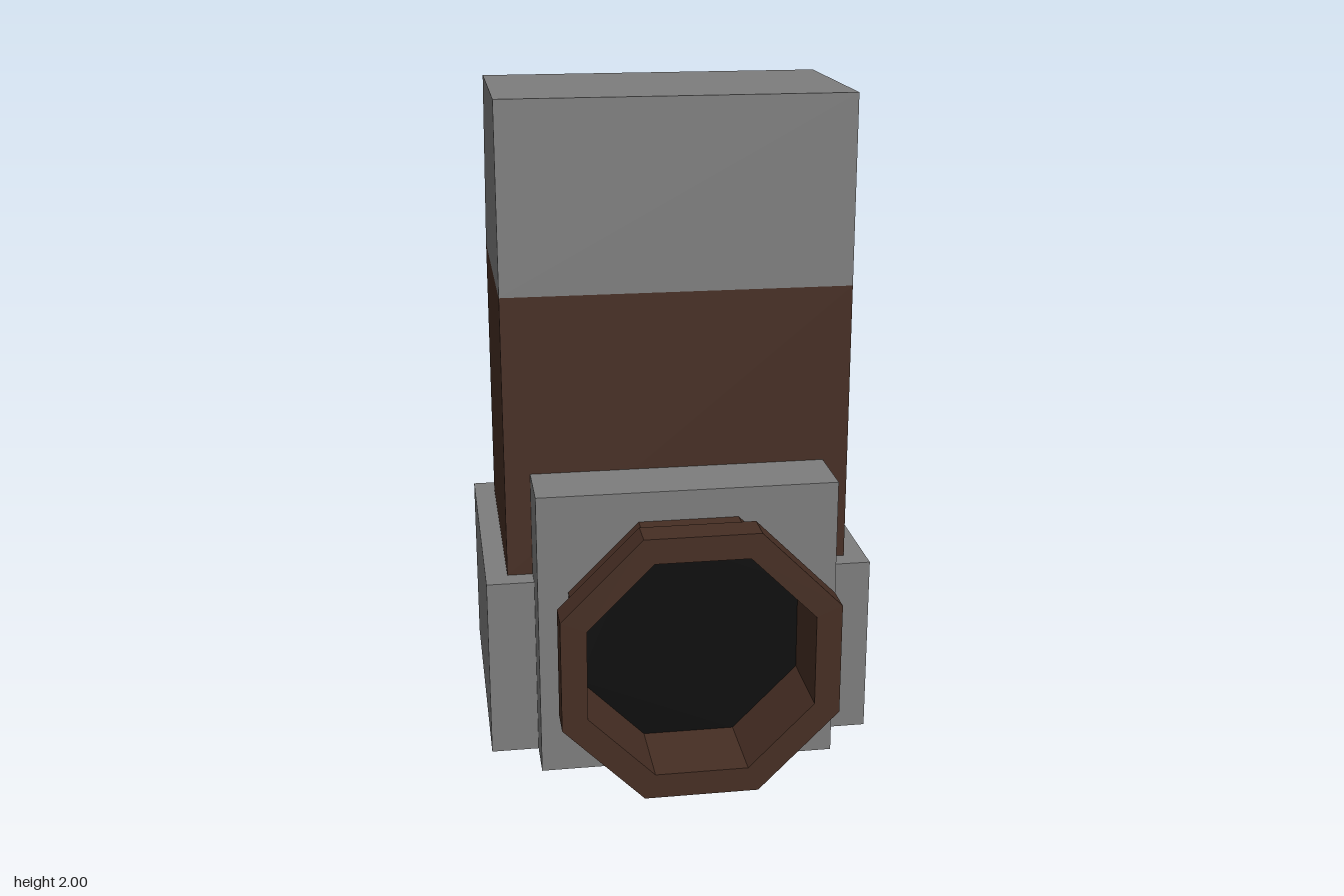
import * as THREE from 'three';

const material = (name, color) => {
  const m = new THREE.MeshStandardMaterial({ color });
  m.name = name;
  return m;
};

export function createModel() {
  const grey = material('grey', 0x7d7d7d);
  const brown = material('brown', 0x462e23);
  const black = material('black', 0x0d0d0d);
  const model = new THREE.Group();

  const add = (name, geometry, mat, parent = model) => {
    const mesh = new THREE.Mesh(geometry, mat);
    mesh.name = name;
    parent.add(mesh);
    return mesh;
  };

  // Box given by its half width and its y and z limits
  const box = (name, halfX, y0, y1, z0, z1, mat) =>
    add(name, new THREE.BoxGeometry(2 * halfX, y1 - y0, z1 - z0), mat)
      .position.set(0, (y0 + y1) / 2, (z0 + z1) / 2);

  // Octagon with flat sides at the given distance from its centre
  const octagon = (apothem) => Array.from({ length: 8 }, (_, i) => {
    const a = (i + 0.5) * Math.PI / 4;
    const r = apothem / Math.cos(Math.PI / 8);
    return new THREE.Vector2(r * Math.cos(a), r * Math.sin(a));
  });

  // Octagonal tube running from z0 to z1
  const ring = (outer, inner, z0, z1) => {
    const shape = new THREE.Shape(octagon(outer));
    shape.holes.push(new THREE.Path(octagon(inner)));
    return new THREE.ExtrudeGeometry(shape, { depth: z1 - z0, bevelEnabled: false })
      .translate(0, 0, z0);
  };
  const disc = (apothem, z) =>
    new THREE.ShapeGeometry(new THREE.Shape(octagon(apothem))).translate(0, 0, z);

  // Base, front plate and tower body
  box('base', 0.593, 0, 0.562, -0.643, 0.25, grey);
  box('frontPlate', 0.449, 0, 0.885, 0.185, 0.39, grey);
  box('towerBody', 0.526, 0.562, 1.43, -0.575, 0.185, brown);

  // Tower top with a sloping back, extruded across x
  const profile = new THREE.Shape([[-0.185, 1.43], [0.575, 1.43], [0.4, 2], [-0.185, 2]]
    .map(([x, y]) => new THREE.Vector2(x, y)));
  add('towerTop', new THREE.ExtrudeGeometry(profile, { depth: 1.052, bevelEnabled: false })
    .translate(0, 0, -0.526).rotateY(Math.PI / 2), grey);

  // Lens: hollow barrel, wider rim and dark glass at the bottom
  const lens = new THREE.Group();
  lens.name = 'lens';
  lens.position.y = 0.435;
  add('lensBarrel', ring(0.359, 0.331, 0.39, 0.55), brown, lens);
  add('lensRim', ring(0.406, 0.331, 0.55, 0.645), brown, lens);
  add('lensGlass', disc(0.331, 0.396), black, lens);
  model.add(lens);

  // Eyepiece standing square on the sloping back
  const eyepiece = new THREE.Group();
  eyepiece.name = 'eyepiece';
  eyepiece.position.set(0.222, 1.72, -0.486);
  eyepiece.lookAt(0.222, 1.72 + 0.175, -0.486 - 0.57);
  add('eyepieceRing', ring(0.092, 0.063, -0.01, 0.066), grey, eyepiece);
  add('eyepieceGlass', disc(0.063, 0.005), black, eyepiece);
  model.add(eyepiece);

  return model;
}
